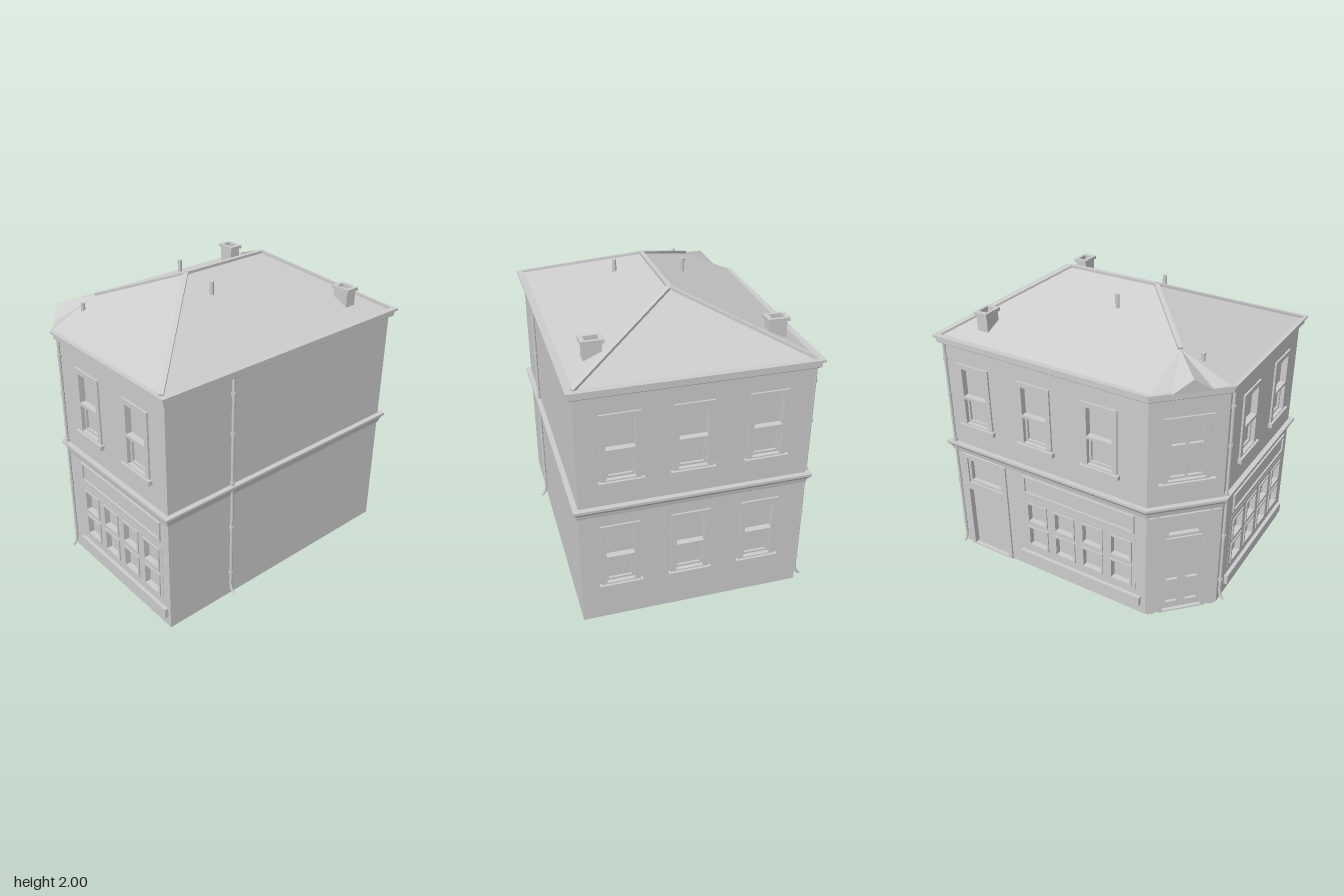
import * as THREE from 'three';

const mat = new THREE.MeshStandardMaterial({ color: 0xcccccc, flatShading: true, side: THREE.DoubleSide });

function add(parent, name, geo, x = 0, y = 0, z = 0) {
  const m = new THREE.Mesh(geo, mat);
  m.name = name;
  m.position.set(x, y, z);
  parent.add(m);
  return m;
}

// Polygons given as lists of corner points, each split into a fan of triangles
function polyGeo(polys) {
  const pos = [];
  for (const p of polys)
    for (let i = 1; i < p.length - 1; i++) pos.push(...p[0], ...p[i], ...p[i + 1]);
  const g = new THREE.BufferGeometry();
  g.setAttribute('position', new THREE.Float32BufferAttribute(pos, 3));
  g.computeVertexNormals();
  return g;
}

// Footprint with one cut-off corner, grown outward by d, at height y
const ring = (d, y) => [
  [-0.95 - d, y, 0.72 + d], [0.93 + d, y, 0.72 + d], [0.93 + d, y, -0.73 - d],
  [-0.6 - 0.414 * d, y, -0.73 - d], [-0.95 - d, y, -0.38 - 0.414 * d]];

// Solid through a stack of [grow, height] rings
function loft(levels) {
  const rings = levels.map(([d, y]) => ring(d, y));
  const polys = [[...rings[0]].reverse(), rings[rings.length - 1]];
  for (let k = 0; k < rings.length - 1; k++)
    for (let i = 0; i < 5; i++) {
      const j = (i + 1) % 5;
      polys.push([rings[k][i], rings[k][j], rings[k + 1][j], rings[k + 1][i]]);
    }
  return polyGeo(polys);
}

// Upright plate [u0, u1, y0, y1] with rectangular holes, between depths z0 and z1
function plate(parent, name, r, holes, z0, z1) {
  const trace = (s, [a, b, c, d]) => s.moveTo(a, c).lineTo(b, c).lineTo(b, d).lineTo(a, d).closePath();
  const shape = trace(new THREE.Shape(), r);
  for (const h of holes) shape.holes.push(trace(new THREE.Path(), h));
  const g = new THREE.ExtrudeGeometry(shape, { depth: z1 - z0, bevelEnabled: false });
  return add(parent, name, g, 0, 0, z0);
}

// Wall with openings; local x runs along the wall, local z points outward
function facade(root, name, x, z, angle, u0, u1, openings) {
  const g = new THREE.Group();
  g.name = name;
  g.position.set(x, 0, z);
  g.rotation.y = angle;
  root.add(g);
  plate(g, 'wallPanel', [u0, u1, 0, 1.64], openings.map(([a, b, c, d]) => [a + 0.01, b - 0.01, c + 0.01, d - 0.01]), -0.04, 0);
  return g;
}

const winRect = (u, y) => [u - 0.125, u + 0.125, y, y + 0.46];

// Sash window: frame, recessed lower sash and sill
function sashWindow(g, u, y) {
  const lower = [u - 0.09, u + 0.09, y + 0.02, y + 0.205];
  plate(g, 'windowFrame', winRect(u, y), [lower, [u - 0.09, u + 0.09, y + 0.225, y + 0.425]], -0.03, 0.012);
  plate(g, 'lowerSash', lower, [[u - 0.075, u + 0.075, y + 0.035, y + 0.19]], -0.03, -0.015);
  plate(g, 'windowSill', [u - 0.14, u + 0.14, y - 0.02, y + 0.012], [], -0.02, 0.028);
}

const shopRect = (u) => [u - 0.44, u + 0.44, 0.18, 0.6];

// Shop window of eight panes with sign board above and a plinth sill below
function shopFront(g, u) {
  const panes = [];
  for (let i = 0; i < 4; i++)
    for (const y of [0.2, 0.4]) {
      const c = u + (i - 1.5) * 0.22;
      const p = [c - 0.083, c + 0.083, y, y + 0.17];
      panes.push(p);
      plate(g, 'paneFrame', p, [[p[0] + 0.014, p[1] - 0.014, p[2] + 0.014, p[3] - 0.014]], -0.03, 0.01);
    }
  plate(g, 'shopWindowFrame', shopRect(u), panes, -0.03, 0.002);
  plate(g, 'signBoardFrame', [u - 0.43, u + 0.43, 0.64, 0.78], [[u - 0.415, u + 0.415, 0.655, 0.765]], -0.01, 0.012);
  plate(g, 'shopPlinth', [u - 0.48, u + 0.48, 0.07, 0.14], [], -0.01, 0.025);
}

// Square bar from a to b
function bar(parent, name, a, b, w) {
  const va = new THREE.Vector3(...a), vb = new THREE.Vector3(...b);
  const m = add(parent, name, new THREE.BoxGeometry(w, w * 0.8, va.distanceTo(vb)));
  m.position.copy(va).lerp(vb, 0.5);
  m.lookAt(vb);
}

// Drainpipe with collars and an outward kick at the foot
function drainpipe(root, x, z, angle) {
  const g = new THREE.Group();
  g.name = 'drainpipe';
  g.position.set(x, 0, z);
  g.rotation.y = angle;
  root.add(g);
  add(g, 'pipe', new THREE.CylinderGeometry(0.01, 0.01, 1.56, 8), 0, 0.87, 0.012);
  const foot = new THREE.QuadraticBezierCurve3(
    new THREE.Vector3(0, 0.1, 0.012), new THREE.Vector3(0, 0.035, 0.014), new THREE.Vector3(0, 0.02, 0.05));
  add(g, 'pipeFoot', new THREE.TubeGeometry(foot, 6, 0.01, 8));
  for (const y of [0.18, 0.55, 0.89, 1.24, 1.51])
    add(g, 'collar', new THREE.CylinderGeometry(0.015, 0.015, 0.02, 8), 0, y, 0.012);
}

export function createModel() {
  const root = new THREE.Group();
  root.name = 'cornerShop';

  // Body, string course and eaves
  add(root, 'core', loft([[-0.03, 0], [-0.03, 1.64]]));
  add(root, 'stringCourse', loft([[0.008, 0.8], [0.014, 0.83], [0.034, 0.855], [0.034, 0.872]]));
  add(root, 'eavesCornice', loft([[0.012, 1.61], [0.025, 1.62], [0.025, 1.655]]));
  add(root, 'eavesPlate', loft([[0.04, 1.655], [0.04, 1.67]]));

  // Plain wall
  facade(root, 'frontWall', 0, 0.72, 0, -0.95, 0.93, []);

  // Side wall with two rows of windows
  const sideWins = [[-0.455, 1.035], [-0.015, 1.035], [0.45, 1.035], [-0.47, 0.26], [-0.02, 0.26], [0.435, 0.26]];
  const side = facade(root, 'leftWall', 0.93, 0, Math.PI / 2, -0.72, 0.73, sideWins.map((w) => winRect(...w)));
  sideWins.forEach((w) => sashWindow(side, ...w));

  // Back wall: house door, shop window, three windows above
  const backWins = [[-0.69, 1.035], [-0.215, 1.035], [0.27, 1.035]];
  const doorRect = [-0.86, -0.49, 0, 0.79];
  const back = facade(root, 'backWall', 0, -0.73, Math.PI, -0.93, 0.6,
    [...backWins.map((w) => winRect(...w)), doorRect, shopRect(0.085)]);
  backWins.forEach((w) => sashWindow(back, ...w));
  shopFront(back, 0.085);
  plate(back, 'doorSurround', doorRect, [[-0.83, -0.52, 0.01, 0.5], [-0.82, -0.53, 0.56, 0.76]], -0.03, 0.012);
  plate(back, 'transomFrame', [-0.82, -0.53, 0.56, 0.76], [[-0.8, -0.55, 0.58, 0.74]], -0.03, 0);
  plate(back, 'door', [-0.82, -0.53, 0.01, 0.49], [], -0.03, -0.018);

  // Street wall: shop window, two windows above
  const streetWins = [[-0.06, 1.035], [0.44, 1.035]];
  const street = facade(root, 'rightWall', -0.95, 0, -Math.PI / 2, -0.38, 0.72,
    [...streetWins.map((w) => winRect(...w)), shopRect(0.215)]);
  streetWins.forEach((w) => sashWindow(street, ...w));
  shopFront(street, 0.215);

  // Cut corner: double door with transom, casement window above
  const cRect = [-0.155, 0.155, 1.03, 1.49], eRect = [-0.165, 0.165, 0, 0.79];
  const corner = facade(root, 'cornerWall', -0.775, -0.555, -0.75 * Math.PI, -0.2475, 0.2475, [cRect, eRect]);
  const inner = [-0.12, 0.12, 1.05, 1.455];
  plate(corner, 'cornerWindowFrame', cRect, [inner], -0.03, 0.012);
  plate(corner, 'cornerCasement', inner, [-1, 1].flatMap((s) => [[1.065, 1.27], [1.29, 1.44]].map(([a, b]) =>
    [s * 0.055 - 0.046, s * 0.055 + 0.046, a, b])), -0.03, -0.01);
  plate(corner, 'cornerWindowSill', [-0.18, 0.18, 1.005, 1.04], [], -0.02, 0.028);
  plate(corner, 'entranceSurround', eRect, [[-0.135, 0.135, 0.01, 0.56], [-0.12, 0.12, 0.61, 0.76]], -0.03, 0.012);
  plate(corner, 'entranceTransom', [-0.12, 0.12, 0.61, 0.76], [[-0.1, 0.1, 0.63, 0.74]], -0.03, 0);
  for (const s of [-1, 1]) {
    const c = s * 0.067;
    plate(corner, 'entranceDoor', [c - 0.064, c + 0.064, 0.01, 0.55],
      [[c - 0.04, c + 0.04, 0.25, 0.51], [c - 0.04, c + 0.04, 0.06, 0.2]], -0.03, -0.012);
    plate(corner, 'pilaster', [s * 0.21 - 0.025, s * 0.21 + 0.025, 0, 0.79], [], -0.01, 0.01);
  }

  // Hipped roof
  const [A, B, C, D, E] = [[-0.965, 1.668, 0.715], [0.93, 1.668, 0.715], [0.93, 1.668, -0.73], [-0.615, 1.668, -0.745], [-0.965, 1.668, -0.41]];
  const R1 = [-0.23, 1.99, 0.015], R2 = [0.41, 1.99, 0.015], J = [-0.63, 1.82, -0.415];
  add(root, 'roof', polyGeo([[A, B, R2, R1], [B, C, R2], [R1, R2, C, D, J], [D, E, J], [R1, J, E, A]]));
  for (const [p, q] of [[R1, R2], [A, R1], [B, R2], [C, R2], [J, R1]]) bar(root, 'ridgeCap', p, q, 0.028);

  // Small gable over the cut corner
  const G = [-0.815, 1.755, -0.6], g0 = [-0.72, 1.668, -0.685], g1 = [-0.9, 1.668, -0.505];
  add(root, 'cornerGable', polyGeo([[g0, g1, G], [G, J, g0], [g1, J, G]]));

  // Chimneys with open tops
  const flue = (w, d, h) => {
    const s = new THREE.Shape().moveTo(-w, -d).lineTo(w, -d).lineTo(w, d).lineTo(-w, d).closePath();
    s.holes.push(new THREE.Path().moveTo(-0.028, -0.042).lineTo(0.028, -0.042).lineTo(0.028, 0.042).lineTo(-0.028, 0.042).closePath());
    return new THREE.ExtrudeGeometry(s, { depth: h, bevelEnabled: false }).rotateX(-Math.PI / 2);
  };
  for (const z of [0.55, -0.575]) {
    add(root, 'chimneyShaft', flue(0.04, 0.056, 0.12), 0.66, 1.71, z);
    add(root, 'chimneyCap', flue(0.048, 0.07, 0.022), 0.66, 1.82, z);
    add(root, 'chimneyFloor', new THREE.BoxGeometry(0.07, 0.04, 0.1), 0.66, 1.76, z);
  }

  // Roof vent pipes
  for (const [x, y, z] of [[-0.185, 1.98, 0.21], [-0.09, 1.98, -0.225], [-0.755, 1.81, -0.37]])
    add(root, 'ventPipe', new THREE.CylinderGeometry(0.014, 0.014, 0.09, 10), x, y - 0.045, z);

  drainpipe(root, -0.46, 0.72, 0);
  drainpipe(root, 0.905, -0.73, Math.PI);
  drainpipe(root, -0.95, -0.36, -Math.PI / 2);
  return root;
}
